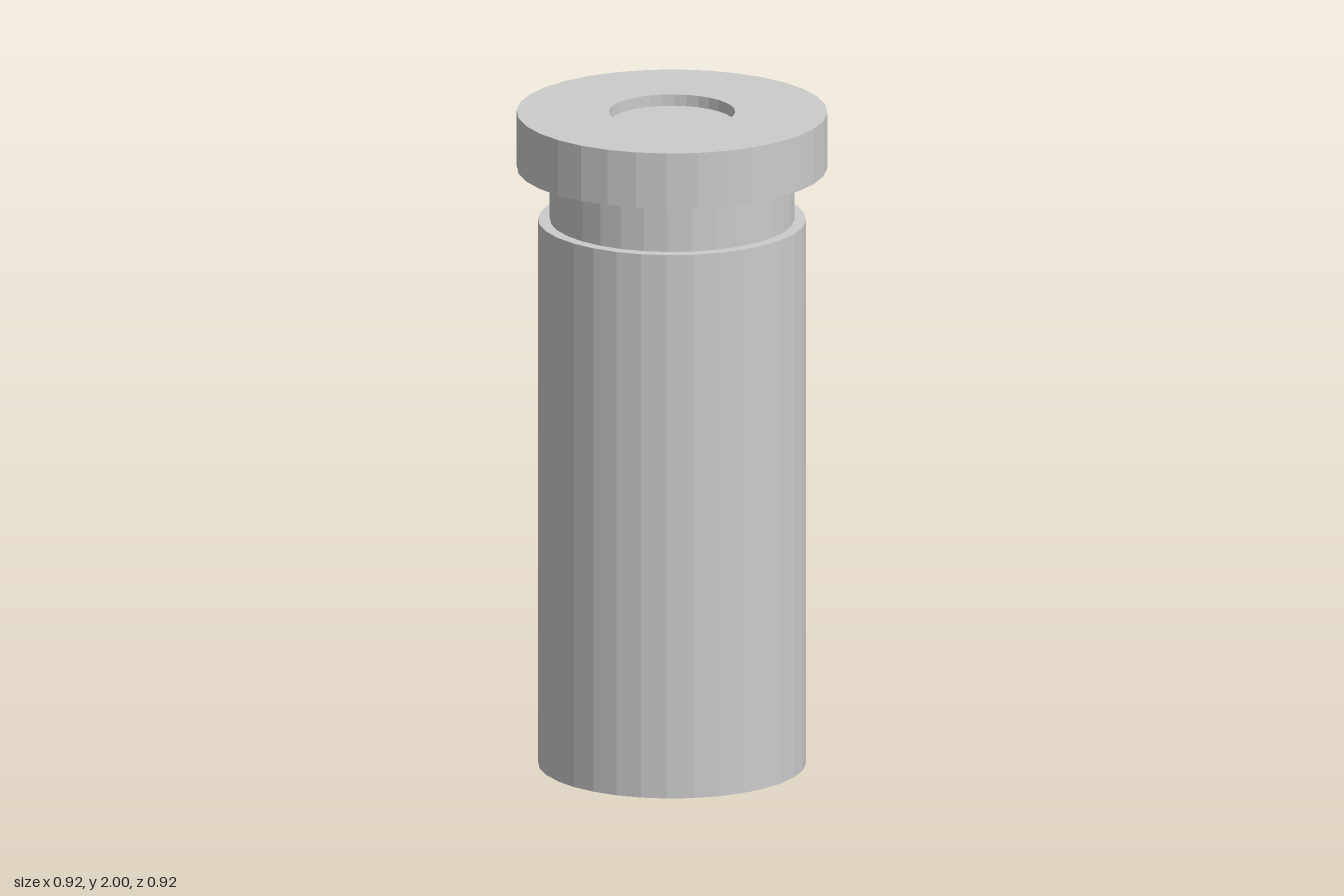
import * as THREE from 'three';

const SIDES = 32;
const material = new THREE.MeshStandardMaterial({ color: 0xcccccc, flatShading: true });

// Turned part from a [radius, height] profile, listed from the bottom up the outside
function turned(name, profile) {
  const points = profile.map(([r, y]) => new THREE.Vector2(r, y));
  const mesh = new THREE.Mesh(new THREE.LatheGeometry(points, SIDES), material);
  mesh.name = name;
  return mesh;
}

export function createModel() {
  const model = new THREE.Group();
  model.name = 'cappedCylinder';

  const bodyTop = 1.67, neckTop = 1.83, top = 2;
  const bodyRadius = 0.397, neckRadius = 0.362, capRadius = 0.46;
  const recessRadius = 0.187, recessDepth = 0.035;

  // Main barrel with a flat shoulder
  model.add(turned('body', [[0, 0], [bodyRadius, 0], [bodyRadius, bodyTop], [neckRadius, bodyTop]]));

  // Narrow neck between barrel and cap
  model.add(turned('neck', [[neckRadius, bodyTop], [neckRadius, neckTop]]));

  // Wide cap with a shallow round recess in its top
  model.add(turned('cap', [
    [neckRadius, neckTop], [capRadius, neckTop], [capRadius, top],
    [recessRadius, top], [recessRadius, top - recessDepth], [0, top - recessDepth],
  ]));

  return model;
}
